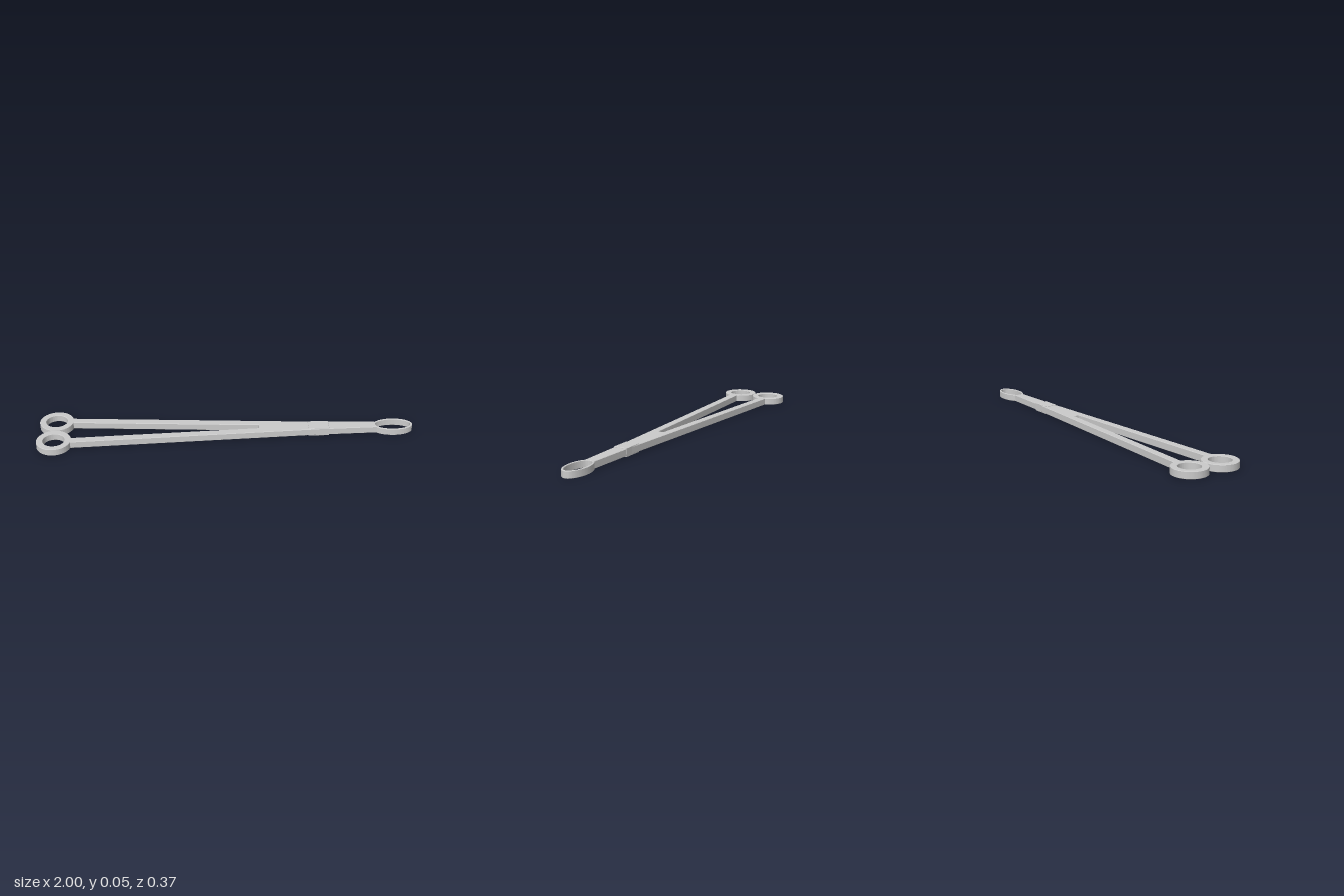
import * as THREE from 'three';
import { toCreasedNormals } from 'three/addons/utils/BufferGeometryUtils.js';

const material = new THREE.MeshStandardMaterial({ color: 0xcccccc });
const BEVEL = 0.002;

// Flat plate lying in the xz plane, from height y0 to y1, with finely broken edges
function plate(name, shape, y0, y1) {
  const extruded = new THREE.ExtrudeGeometry(shape, {
    depth: y1 - y0 - 2 * BEVEL,
    bevelThickness: BEVEL,
    bevelSize: BEVEL,
    bevelOffset: -BEVEL,
    bevelSegments: 1,
    curveSegments: 48,
  });
  extruded.translate(0, 0, BEVEL).rotateX(-Math.PI / 2).translate(0, y0, 0);
  const mesh = new THREE.Mesh(toCreasedNormals(extruded, 0.5), material);
  mesh.name = name;
  return mesh;
}

// Oval ring outline with an oval opening
function ovalRing(x, z, rx, rz, holeX, holeZ) {
  const shape = new THREE.Shape().absellipse(x, z, rx, rz, 0, Math.PI * 2);
  shape.holes.push(new THREE.Path().absellipse(x, z, holeX, holeZ, 0, Math.PI * 2, true));
  return shape;
}

// Outline mirrored across the long axis
function mirrored(half) {
  const other = half.map(([x, z]) => [x, -z]).reverse();
  return new THREE.Shape([...half, ...other].map(([x, z]) => new THREE.Vector2(x, z)));
}

export function createModel() {
  const model = new THREE.Group();
  model.name = 'ringForceps';
  const bottom = 0.005, top = 0.042;

  // Two tapering arms that merge into one shank past the notch
  const shank = mirrored([
    [0.175, 0.015], [-0.835, 0.075], [-0.835, 0.117],
    [0.5, 0.037], [0.802, 0.027],
  ]);
  model.add(plate('armsAndShank', shank, bottom, top));

  // Finger rings, touching on the centre line
  for (const side of [1, -1]) {
    const ring = ovalRing(-0.909, side * 0.0925, 0.091, 0.0915, 0.057, 0.057);
    model.add(plate(side > 0 ? 'backFingerRing' : 'frontFingerRing', ring, bottom, top));
  }

  // Box lock, slightly thicker than the shank
  const lock = mirrored([[0.44, 0.037], [0.55, 0.037]]);
  model.add(plate('boxLock', lock, 0, 0.046));

  // Thin oval jaw at the tip
  model.add(plate('ovalJaw', ovalRing(0.895, 0, 0.105, 0.055, 0.094, 0.045), bottom, top));

  return model;
}
